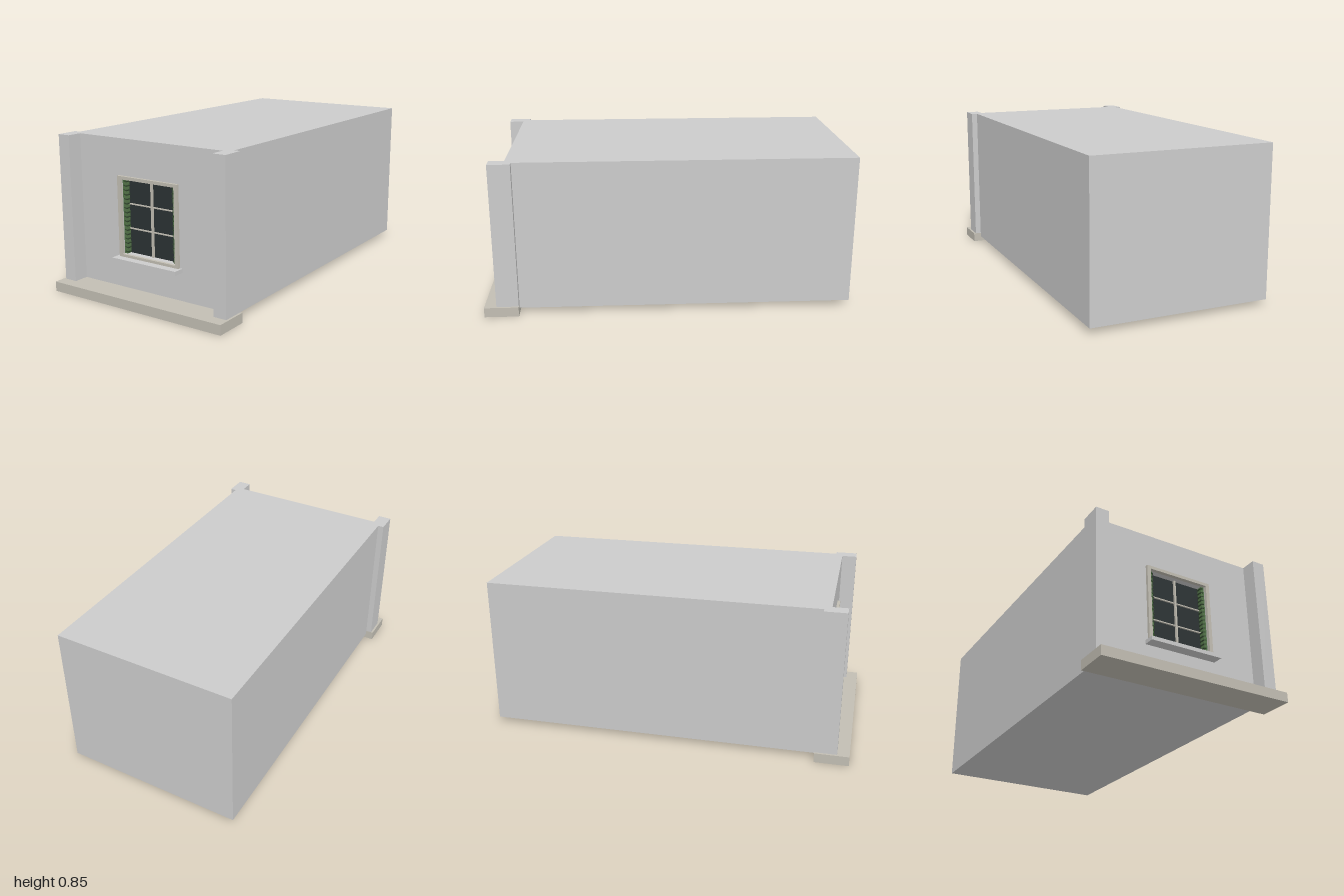
import * as THREE from 'three';

const paint = (color) => new THREE.MeshStandardMaterial({ color, side: THREE.DoubleSide });

// Box given by its limits on each axis
function block(parent, name, material, [x0, x1], [y0, y1], [z0, z1]) {
  const geometry = new THREE.BoxGeometry(x1 - x0, y1 - y0, z1 - z0);
  const mesh = new THREE.Mesh(geometry, material);
  mesh.position.set((x0 + x1) / 2, (y0 + y1) / 2, (z0 + z1) / 2);
  mesh.name = name;
  parent.add(mesh);
  return mesh;
}

// Rectangular panel with a rectangular opening, extruded along z
function panelWithOpening(parent, name, material, outer, inner, z0, z1) {
  const corners = ([x0, x1, y0, y1]) => [[x0, y0], [x1, y0], [x1, y1], [x0, y1]].map((p) => new THREE.Vector2(...p));
  const shape = new THREE.Shape(corners(outer));
  shape.holes.push(new THREE.Path(corners(inner).reverse()));
  const mesh = new THREE.Mesh(new THREE.ExtrudeGeometry(shape, { depth: z1 - z0, bevelEnabled: false }), material);
  mesh.position.z = z0;
  mesh.name = name;
  parent.add(mesh);
}

export function createModel() {
  const model = new THREE.Group();
  model.name = 'houseSection';
  const grey = paint(0xcccccc);
  const stone = paint(0xc2beb3);
  const dark = paint(0x2b3233);
  const green = paint(0x55764a);
  const darkGreen = paint(0x344a30);

  // Main volume and front wall
  const opening = [-0.173, 0.173, 0.239, 0.638];
  block(model, 'body', grey, [-0.497, 0.497], [0.03, 0.848], [-1, 0.815]);
  panelWithOpening(model, 'frontWall', grey, [-0.497, 0.497, 0.03, 0.848], opening, 0.815, 0.853);

  // Plinth and corner pilasters
  block(model, 'plinth', stone, [-0.542, 0.542], [0, 0.053], [0.815, 1]);
  block(model, 'leftPilaster', grey, [0.457, 0.53], [0.053, 0.848], [0.815, 0.935]);
  block(model, 'rightPilaster', grey, [-0.53, -0.457], [0.053, 0.848], [0.815, 0.935]);

  // Window
  const windowGroup = new THREE.Group();
  windowGroup.name = 'window';
  model.add(windowGroup);
  panelWithOpening(windowGroup, 'windowFrame', stone, [-0.193, 0.193, 0.225, 0.655], opening, 0.85, 0.869);
  block(windowGroup, 'sill', grey, [-0.208, 0.208], [0.204, 0.225], [0.85, 0.911]);
  block(windowGroup, 'glass', dark, [-0.173, 0.173], [0.239, 0.638], [0.816, 0.82]);
  block(windowGroup, 'mullion', stone, [-0.005, 0.005], [0.239, 0.638], [0.82, 0.832]);
  for (const y of [0.373, 0.504]) {
    block(windowGroup, 'glazingBar', stone, [-0.155, 0.155], [y - 0.003, y + 0.003], [0.82, 0.828]);
  }

  // Louvred shutters folded back against the sides of the opening
  const slats = 17;
  for (const side of [-1, 1]) {
    const shutter = new THREE.Group();
    shutter.name = side > 0 ? 'leftShutter' : 'rightShutter';
    windowGroup.add(shutter);
    const span = (a, b) => [side * a, side * b].sort((p, q) => p - q);
    block(shutter, 'shutterPanel', green, span(0.153, 0.172), [0.24, 0.637], [0.821, 0.85]);
    for (let i = 0; i < slats; i++) {
      const y = 0.239 + ((i + 0.5) * 0.399) / slats;
      const slat = block(shutter, 'slat', darkGreen, span(0.148, 0.166), [y - 0.003, y + 0.003], [0.822, 0.852]);
      slat.rotation.z = side * 0.25;
    }
  }
  return model;
}
